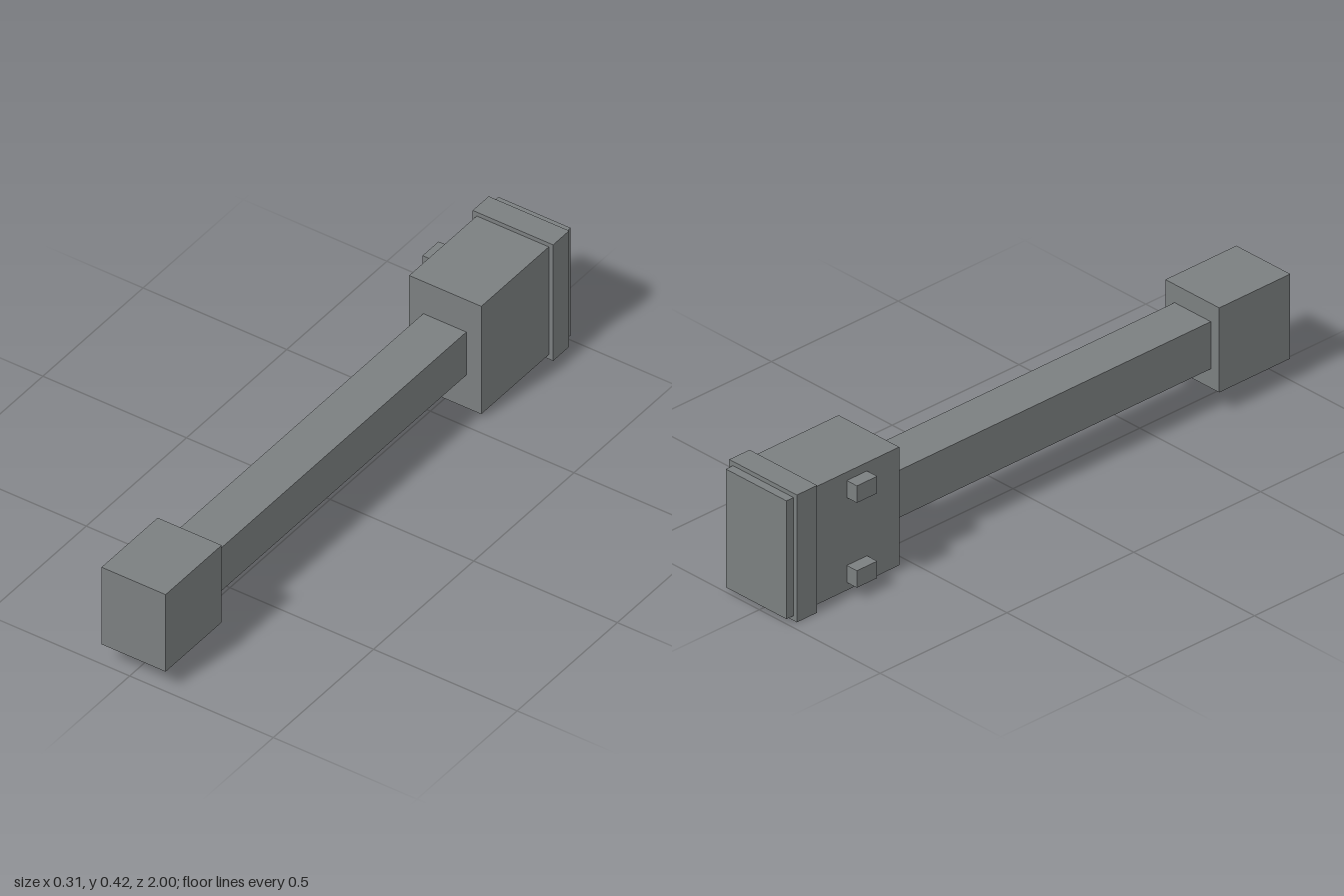
import * as THREE from 'three';

export function createModel() {
  const model = new THREE.Group();
  const steel = new THREE.MeshStandardMaterial({ color: 0x7b7f80 });
  steel.name = 'steelGrey';

  // Box given by its extents along each axis
  function block(name, [x0, x1], [y0, y1], [z0, z1]) {
    const mesh = new THREE.Mesh(new THREE.BoxGeometry(x1 - x0, y1 - y0, z1 - z0), steel);
    mesh.name = name;
    mesh.position.set((x0 + x1) / 2, (y0 + y1) / 2, (z0 + z1) / 2);
    model.add(mesh);
  }

  // Front block, long shaft and rear housing
  block('frontBlock', [-0.098, 0.125], [0.071, 0.35], [0.72, 1]);
  block('shaft', [-0.063, 0.087], [0.134, 0.29], [-0.555, 0.72]);
  block('rearHousing', [-0.112, 0.139], [0.016, 0.406], [-1, -0.555]);

  // Collar around the rear of the housing
  block('collar', [-0.126, 0.154], [0, 0.42], [-0.972, -0.892]);

  // Two lugs on the right side of the housing
  for (const [name, y] of [['lowerLug', 0.07], ['upperLug', 0.35]]) {
    block(name, [-0.154, -0.112], [y - 0.028, y + 0.028], [-0.762, -0.682]);
  }

  return model;
}
